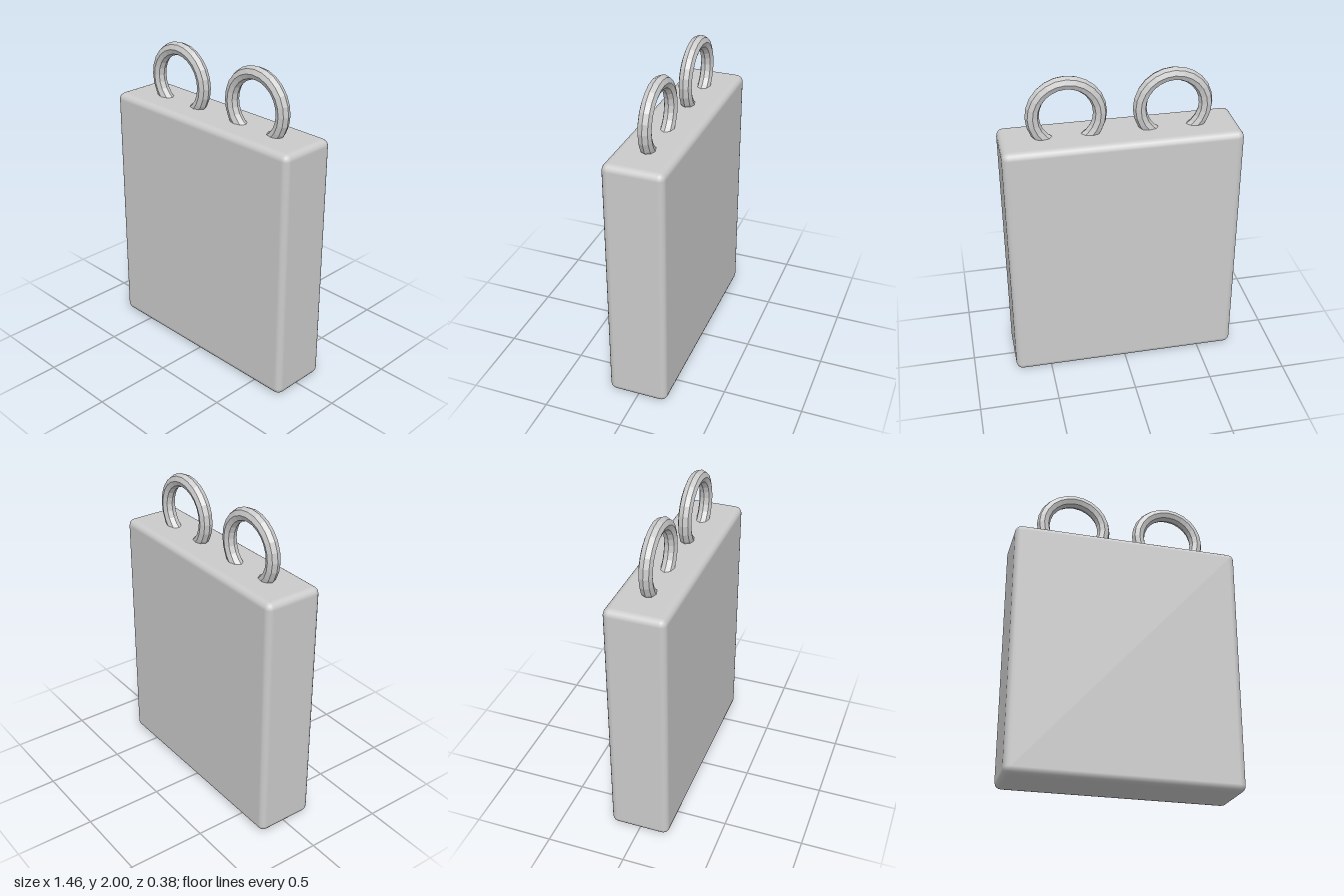
import * as THREE from 'three';
import { RoundedBoxGeometry } from 'three/addons/geometries/RoundedBoxGeometry.js';

export function createModel() {
  const model = new THREE.Group();
  const smooth = new THREE.MeshStandardMaterial({ color: 0xcccccc });
  const faceted = new THREE.MeshStandardMaterial({ color: 0xcccccc, flatShading: true });

  // Upright slab with softly rounded edges
  const body = new THREE.Mesh(new RoundedBoxGeometry(1.46, 1.62, 0.38, 2, 0.042), smooth);
  body.name = 'body';
  body.position.y = 0.81;
  model.add(body);

  // Two rings sunk into the top of the slab
  const ringGeometry = new THREE.TorusGeometry(0.203, 0.042, 8, 24);
  for (const side of [-1, 1]) {
    const ring = new THREE.Mesh(ringGeometry, faceted);
    ring.name = side > 0 ? 'leftRing' : 'rightRing';
    ring.position.set(side * 0.323, 1.755, 0);
    model.add(ring);
  }
  return model;
}
